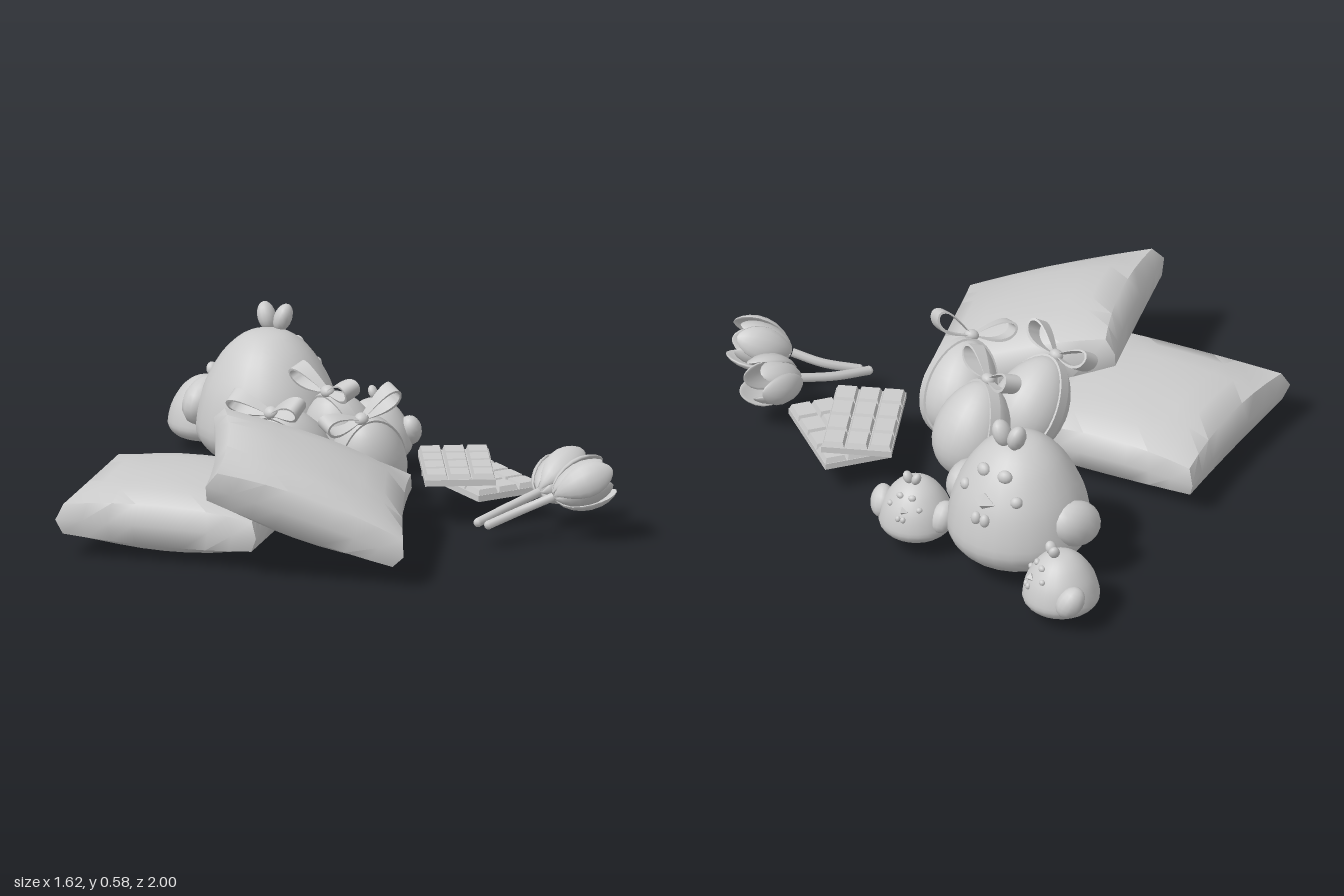
import * as THREE from 'three';
import { mergeVertices, toCreasedNormals } from 'three/addons/utils/BufferGeometryUtils.js';

const grey = new THREE.MeshStandardMaterial({ color: 0xcccccc });
const thin = new THREE.MeshStandardMaterial({ color: 0xcccccc, side: THREE.DoubleSide });
const faceted = new THREE.MeshStandardMaterial({ color: 0xcccccc, flatShading: true });
const V = (x, y, z) => new THREE.Vector3(x, y, z);

function add(parent, name, geo, pos = [0, 0, 0], rot = [0, 0, 0], mat = grey) {
  const m = new THREE.Mesh(geo, mat);
  m.name = name;
  m.position.set(...pos);
  m.rotation.set(...rot);
  parent.add(m);
  return m;
}
function group(parent, name, pos = [0, 0, 0], rot = [0, 0, 0]) {
  const g = new THREE.Group();
  g.name = name;
  g.position.set(...pos);
  g.rotation.set(...rot);
  parent.add(g);
  return g;
}
// Move every vertex of a geometry by a rule
function warp(geo, rule) {
  const p = geo.attributes.position, v = new THREE.Vector3();
  for (let i = 0; i < p.count; i++) {
    rule(v.fromBufferAttribute(p, i));
    p.setXYZ(i, v.x, v.y, v.z);
  }
  geo.computeVertexNormals();
  return geo;
}
const ball = (x, y, z, w = 14, h = 10) => new THREE.SphereGeometry(1, w, h).scale(x, y, z);

// Cushion: a box swollen in the middle, with blunt sides drawn in between the corners
function cushion(root, name, left, back, front) {
  const ex = back.clone().sub(left), ez = front.clone().sub(left);
  const centre = back.clone().add(front).multiplyScalar(0.5);
  const hx = ex.length() / 2, hz = ez.length() / 2;
  let geo = new THREE.BoxGeometry(2, 2, 2, 8, 2, 8);
  geo.deleteAttribute('uv');
  geo.deleteAttribute('normal');
  geo = mergeVertices(geo);
  warp(geo, (p) => {
    const u = p.x, w = p.z, a = 1 - u * u, b = 1 - w * w;
    const inset = p.y === 0 ? 1 : 0.94;
    const h = 0.052 + 0.02 * Math.max(a, b) + 0.053 * Math.pow(Math.max(a * b, 0), 0.5);
    p.set(u * hx * inset * (1 - 0.06 * b), p.y * h, w * hz * inset * (1 - 0.06 * a));
  });
  const m = add(root, name, toCreasedNormals(geo, 0.9), centre.toArray());
  ex.normalize();
  const ey = ez.normalize().clone().cross(ex).normalize();
  m.quaternion.setFromRotationMatrix(new THREE.Matrix4().makeBasis(ex, ey, ex.clone().cross(ey)));
}

// Egg with a ribbon round it and a bow on top
function eggPoint(t, grow = 0) {
  return new THREE.Vector2((0.13 + grow) * Math.sin(t) * (1 - 0.13 * Math.cos(t)), (0.172 + grow) * Math.cos(t));
}
const bowLoop = () => warp(new THREE.BoxGeometry(1, 2, 1, 24, 1, 1), (p) => {
  const t = p.x + 0.5, s = Math.sin(Math.PI * t), w = p.y, k = p.z > 0 ? 1 : 0;
  p.set((0.15 - 0.008 * k) * s, (0.036 - 0.008 * k) * Math.sin(2 * Math.PI * t) + 0.045 * s, w * (0.01 + 0.022 * s));
});
function egg(root, pos, tilt, yaw) {
  const outer = group(root, 'egg', pos, tilt);
  const g = group(outer, 'eggBody', [0, 0, 0], [0, yaw, 0]);
  const profile = [], outline = [];
  for (let i = 0; i <= 16; i++) profile.push(eggPoint(Math.PI * (1 - i / 16)));
  for (let i = 0; i < 40; i++) outline.push(eggPoint(i / 40 * 2 * Math.PI, 0.005));
  add(g, 'eggShell', new THREE.LatheGeometry(profile, 24));
  const band = new THREE.ExtrudeGeometry(new THREE.Shape(outline), { depth: 0.04, bevelEnabled: false });
  add(g, 'ribbonBand', toCreasedNormals(band.translate(0, 0, -0.02), 0.6));
  add(g, 'bowKnot', ball(0.026, 0.02, 0.024), [0, 0.185, 0]);
  for (const turn of [0, Math.PI]) {
    add(g, 'bowLoop', toCreasedNormals(bowLoop(), 0.7), [0, 0.185, 0], [0, turn, 0], thin);
  }
}

// Pear-shaped chick facing its own +x
const chickProfile = [[0, 0], [0.12, 0], [0.19, 0.018], [0.236, 0.075], [0.238, 0.14], [0.219, 0.23],
  [0.186, 0.305], [0.14, 0.375], [0.085, 0.422], [0.04, 0.438], [0, 0.442]];
function chickRadius(y) {
  const i = Math.max(1, chickProfile.findIndex((p, k) => k > 1 && p[1] >= y));
  const [a, b] = [chickProfile[i - 1], chickProfile[i]];
  return a[0] + (b[0] - a[0]) * (y - a[1]) / (b[1] - a[1]);
}
function chick(root, name, pos, yaw, scale, wingAngle, wingSize, wingY) {
  const g = group(root, name, pos, [0, yaw, 0]);
  g.scale.set(...scale);
  const pts = new THREE.SplineCurve(chickProfile.map((p) => new THREE.Vector2(...p))).getPoints(24);
  pts.forEach((p) => { p.x = Math.max(p.x, 0); p.y = Math.max(p.y, 0); });
  add(g, 'chickBody', new THREE.LatheGeometry(pts, 24));
  const onFace = (part, y, a, geo, mat) => {
    const r = chickRadius(y);
    add(g, part, geo, [r * Math.cos(a), y, r * Math.sin(a)], [0, -a, 0], mat);
  };
  for (const s of [-1, 1]) {
    onFace('eye', 0.365, s * 0.3, ball(0.02, 0.024, 0.026));
    onFace('cheek', 0.295, s * 0.58, ball(0.018, 0.021, 0.021));
    onFace('wattle', 0.222, s * 0.08, ball(0.018, 0.024, 0.018));
    add(g, 'crest', ball(0.036, 0.05, 0.03), [0.055, 0.472, s * 0.03], [s * 0.3, 0, -0.15]);
    const pivot = group(g, 'wingMount', [0, wingY, 0], [0, -s * wingAngle, 0]);
    add(pivot, 'wing', ball(...wingSize), [0.225, 0, 0], [s * 0.45, s * 0.3, 0]);
  }
  onFace('beak', 0.28, 0, new THREE.OctahedronGeometry(1).scale(0.03, 0.036, 0.042), faceted);
}

// Slab of 4 by 3 bevelled tiles
function chocolate(root, pos, yaw) {
  const g = group(root, 'chocolateBar', pos, [0, yaw, 0]);
  const L = 0.38, W = 0.24, nx = 4, nz = 3;
  add(g, 'barBase', new THREE.BoxGeometry(L, 0.022, W), [0, 0.011, 0]);
  const tile = new THREE.CylinderGeometry(0.84 * Math.SQRT1_2, Math.SQRT1_2, 0.018, 4).rotateY(Math.PI / 4)
    .scale(L / nx * 0.95, 1, W / nz * 0.95);
  for (let i = 0; i < nx; i++) for (let k = 0; k < nz; k++) {
    add(g, 'barTile', tile, [(i + 0.5) * L / nx - L / 2, 0.031, (k + 0.5) * W / nz - W / 2], [0, 0, 0], faceted);
  }
}

// Tulip: curved stem, three inner and three outer petals
function tulip(root, stem, tip) {
  const g = group(root, 'tulip');
  const curve = new THREE.CatmullRomCurve3(stem);
  add(g, 'stem', new THREE.TubeGeometry(curve, 12, 0.016, 8));
  add(g, 'stemEnd', ball(0.016, 0.016, 0.016, 8, 6), stem[0].toArray());
  const base = stem[stem.length - 1], axis = tip.clone().sub(base), len = axis.length();
  const head = group(g, 'blossom', base.toArray());
  head.quaternion.setFromUnitVectors(V(0, 1, 0), axis.normalize());
  for (let i = 0; i < 6; i++) {
    const outer = i % 2, r = outer ? 0.107 : 0.084, span = outer ? 1.55 : 1.9;
    // A cupped shell, thick in the middle, narrowing to a tip that stays open
    const petal = warp(new THREE.SphereGeometry(1, 14, 10), (p) => {
      const a = p.x * span / 2, h = (p.y + 1) / 2;
      const rad = r * 1.25 * Math.sqrt(h) * (1 - 0.5 * h * h) + p.z * 0.012;
      p.set(rad * Math.sin(a), h * len * (outer ? 1 : 0.94), rad * Math.cos(a));
    });
    add(head, 'petal', petal, [0, 0, 0], [0, i * Math.PI / 3, 0], thin);
  }
}

export function createModel() {
  const root = new THREE.Group();
  root.name = 'springGiftSet';

  cushion(root, 'lowerCushion', V(-0.815, 0.135, -0.31), V(-0.17, 0.127, -0.615), V(-0.51, 0.123, 0.33));
  cushion(root, 'upperCushion', V(-0.745, 0.355, 0.31), V(-0.2, 0.4, -0.135), V(-0.315, 0.108, 0.825));

  egg(root, [0.065, 0.25, -0.02], [0, 0, 0.6], Math.PI / 2 + 0.08);
  egg(root, [0.315, 0.243, -0.02], [0, 0, 0.36], Math.PI / 2 - 0.15);
  egg(root, [0.187, 0.236, 0.22], [0.22, 0, 0.42], -0.25);

  chick(root, 'largeChick', [0.465, 0.06, -0.48], 0.3, [1.02, 1, 1.02], 1.62, [0.062, 0.08, 0.1], 0.17);
  chick(root, 'smallChickBack', [0.558, 0.04, -0.84], -0.32, [0.55, 0.48, 0.55], 1.5, [0.075, 0.12, 0.085], 0.18);
  chick(root, 'smallChickFront', [0.68, 0.06, -0.185], 0.45, [0.53, 0.47, 0.53], 1.35, [0.075, 0.12, 0.085], 0.21);

  chocolate(root, [0.565, 0.1, 0.395], 1.26);
  chocolate(root, [0.508, 0.148, 0.338], 0.79);

  tulip(root, [V(0.23, 0.09, 0.68), V(0.37, 0.115, 0.69), V(0.5, 0.145, 0.715)], V(0.71, 0.205, 0.71));
  tulip(root, [V(0.245, 0.085, 0.715), V(0.36, 0.125, 0.77), V(0.44, 0.165, 0.835)], V(0.61, 0.235, 0.945));
  return root;
}
